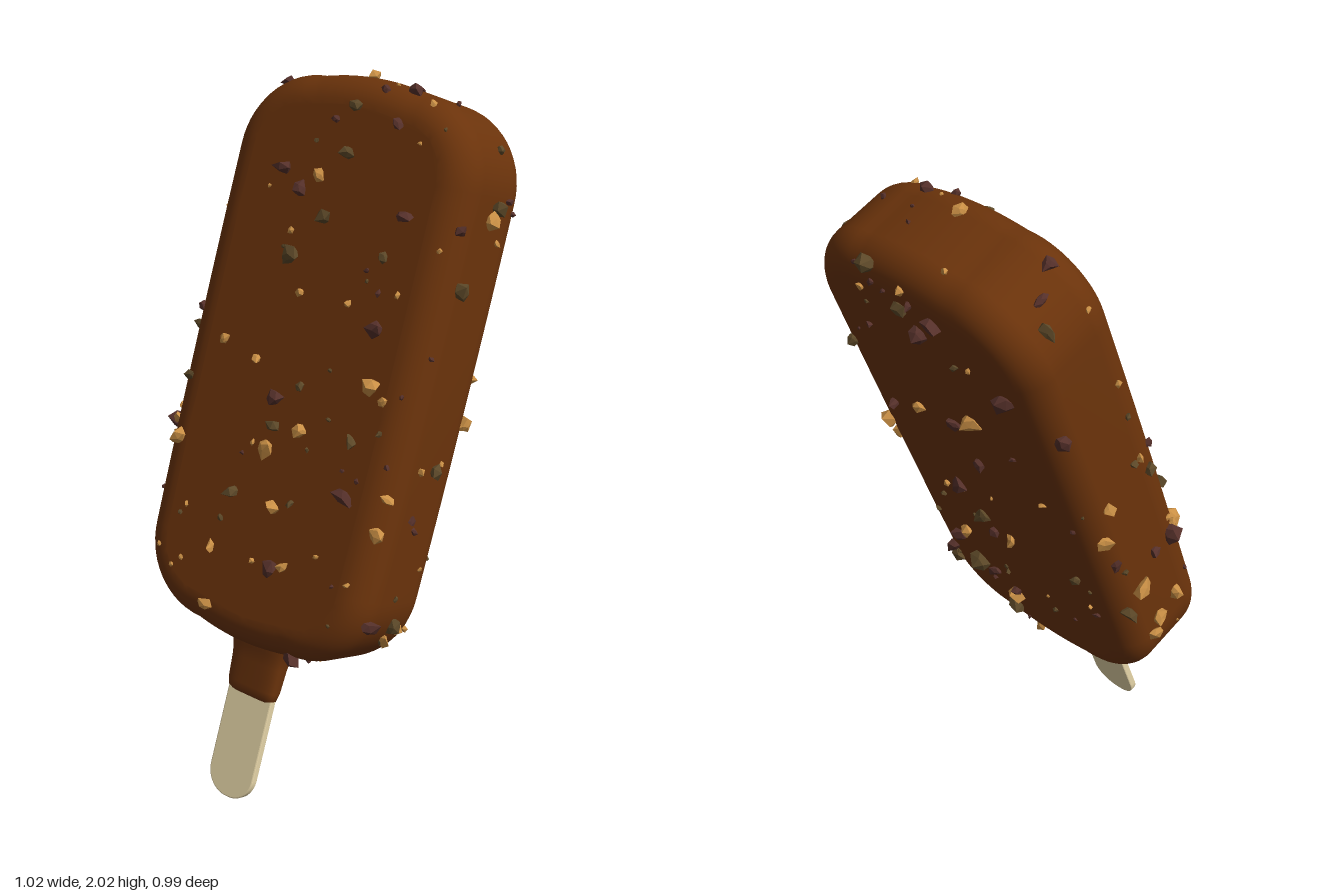
import * as THREE from 'three';
import { mergeVertices, mergeGeometries } from 'three/addons/utils/BufferGeometryUtils.js';

// Small seeded generator for the scattered pieces
function seeded(seed) {
  return () => {
    seed = (seed * 1664525 + 1013904223) >>> 0;
    return seed / 4294967296;
  };
}

const paint = (color, extra = {}) => new THREE.MeshStandardMaterial({ color, ...extra });

function part(name, geometry, material) {
  const mesh = new THREE.Mesh(geometry, material);
  mesh.name = name;
  return mesh;
}

// Rounded bar outline with gently domed ends and sides
function barOutline(w, h, r, domeX, domeY) {
  const x = w - domeX, y = h - domeY, k = r * 0.45;
  const s = new THREE.Shape();
  s.moveTo(x, -y + r);
  s.quadraticCurveTo(x + 2 * domeX, 0, x, y - r);
  s.bezierCurveTo(x, y - k, x - k, y, x - r, y);
  s.quadraticCurveTo(0, y + 2 * domeY, -x + r, y);
  s.bezierCurveTo(-x + k, y, -x, y - k, -x, y - r);
  s.quadraticCurveTo(-x - 2 * domeX, 0, -x, -y + r);
  s.bezierCurveTo(-x, -y + k, -x + k, -y, -x + r, -y);
  s.quadraticCurveTo(0, -y - 2 * domeY, x - r, -y);
  s.bezierCurveTo(x - k, -y, x, -y + k, x, -y + r);
  return s;
}

// Extrusion centred on z = 0 whose bevel stays inside the outline
function slab(shape, depth, bevel, segments, curveSegments) {
  const g = new THREE.ExtrudeGeometry(shape, {
    depth: depth - 2 * bevel, bevelThickness: bevel, bevelSize: bevel,
    bevelOffset: -bevel, bevelSegments: segments, curveSegments,
  });
  return g.translate(0, 0, -depth / 2 + bevel);
}

function smooth(g) {
  g.deleteAttribute('normal');
  g.deleteAttribute('uv');
  const merged = mergeVertices(g, 1e-4);
  merged.computeVertexNormals();
  return merged;
}

// Area-weighted random points on a surface
function surfaceSampler(geometry, rand) {
  const g = geometry.toNonIndexed(), p = g.attributes.position;
  const tri = new THREE.Triangle(), sums = [];
  let total = 0;
  for (let i = 0; i < p.count; i += 3) {
    tri.setFromAttributeAndIndices(p, i, i + 1, i + 2);
    sums.push(total += tri.getArea());
  }
  return () => {
    const pick = rand() * total;
    const i = 3 * sums.findIndex((s) => s >= pick);
    tri.setFromAttributeAndIndices(p, i, i + 1, i + 2);
    let u = rand(), v = rand();
    if (u + v > 1) { u = 1 - u; v = 1 - v; }
    const point = tri.a.clone().multiplyScalar(1 - u - v)
      .addScaledVector(tri.b, u).addScaledVector(tri.c, v);
    return { point, normal: tri.getNormal(new THREE.Vector3()) };
  };
}

// Angular crumb: a polyhedron with each corner pushed in or out
function crumb(radius, rand) {
  const g = new THREE.IcosahedronGeometry(1, 0);
  g.deleteAttribute('normal');
  g.deleteAttribute('uv');
  const m = mergeVertices(g, 1e-4), p = m.attributes.position;
  for (let i = 0; i < p.count; i++) {
    const k = radius * (0.5 + 0.8 * rand());
    p.setXYZ(i, p.getX(i) * k, p.getY(i) * k, p.getZ(i) * k);
  }
  const stretch = () => 0.75 + 0.5 * rand();
  m.scale(stretch(), stretch(), stretch());
  m.rotateX(rand() * 6.28).rotateY(rand() * 6.28);
  const flat = m.toNonIndexed();
  flat.computeVertexNormals();
  return flat;
}

export function createModel() {
  const root = new THREE.Group();
  root.name = 'iceCreamBar';
  const bar = new THREE.Group();
  bar.name = 'tiltedBar';
  root.add(bar);

  // Lean the bar: local x = width, y = length, z = thickness
  const up = new THREE.Vector3(0.284, 1, -0.236).normalize();
  const front = new THREE.Vector3(0.69, 0, 0.72).cross(up).normalize();
  const side = new THREE.Vector3().crossVectors(up, front);
  bar.quaternion.setFromRotationMatrix(new THREE.Matrix4().makeBasis(side, up, front));
  bar.position.set(0, 1.213, 0);

  const chocolate = paint(0x6b330b);

  // Chocolate coating
  const bodyGeometry = smooth(slab(barOutline(0.402, 0.808, 0.23, 0.004, 0.018), 0.33, 0.09, 9, 14));
  bar.add(part('chocolateCoating', bodyGeometry, chocolate));

  // Wooden stick
  const stickShape = new THREE.Shape();
  stickShape.moveTo(0.08, -0.6);
  stickShape.lineTo(-0.08, -0.6);
  stickShape.lineTo(-0.08, -1.214);
  stickShape.absarc(-0.005, -1.214, 0.075, Math.PI, Math.PI * 1.5, false);
  stickShape.absarc(0.005, -1.214, 0.075, Math.PI * 1.5, Math.PI * 2, false);
  stickShape.lineTo(0.08, -0.6);
  bar.add(part('stick', slab(stickShape, 0.024, 0.004, 2, 24), paint(0xe6d5a8)));

  // Chocolate neck flowing down the stick
  const profile = [
    [-0.975, 0.0, 0.0], [-0.976, 0.07, 0.016], [-0.968, 0.082, 0.024], [-0.945, 0.087, 0.03],
    [-0.87, 0.09, 0.036], [-0.83, 0.096, 0.044], [-0.79, 0.11, 0.056], [-0.74, 0.125, 0.065],
  ];
  const sides = 32, points = [], index = [];
  const squash = (v) => Math.sign(v) * Math.pow(Math.abs(v), 0.6);
  profile.forEach(([y, w, d], j) => {
    for (let i = 0; i < sides; i++) {
      const a = (i / sides) * Math.PI * 2;
      points.push(squash(Math.cos(a)) * w, y, squash(Math.sin(a)) * d);
      if (j === 0) continue;
      const b = j * sides + i, c = j * sides + ((i + 1) % sides);
      index.push(b - sides, b, c - sides, b, c, c - sides);
    }
  });
  const neck = new THREE.BufferGeometry();
  neck.setAttribute('position', new THREE.Float32BufferAttribute(points, 3));
  neck.setIndex(index);
  neck.computeVertexNormals();
  bar.add(part('chocolateNeck', neck, chocolate));

  // Nut and chocolate crumbs over the whole coating
  const rand = seeded(71);
  const sample = surfaceSampler(bodyGeometry, rand);
  const kinds = [
    ['goldenNutCrumbs', 0xc98f45, 75],
    ['darkChocolateCrumbs', 0x55302a, 65],
    ['brownNutCrumbs', 0x5c4828, 60],
  ];
  for (const [name, color, count] of kinds) {
    const pieces = [];
    for (let i = 0; i < count; i++) {
      const { point, normal } = sample();
      const radius = rand() < 0.4 ? 0.006 + 0.006 * rand() : 0.014 + 0.017 * rand();
      point.addScaledVector(normal, radius * 0.2);
      pieces.push(crumb(radius, rand).translate(point.x, point.y, point.z));
    }
    bar.add(part(name, mergeGeometries(pieces), paint(color, { flatShading: true })));
  }
  return root;
}
